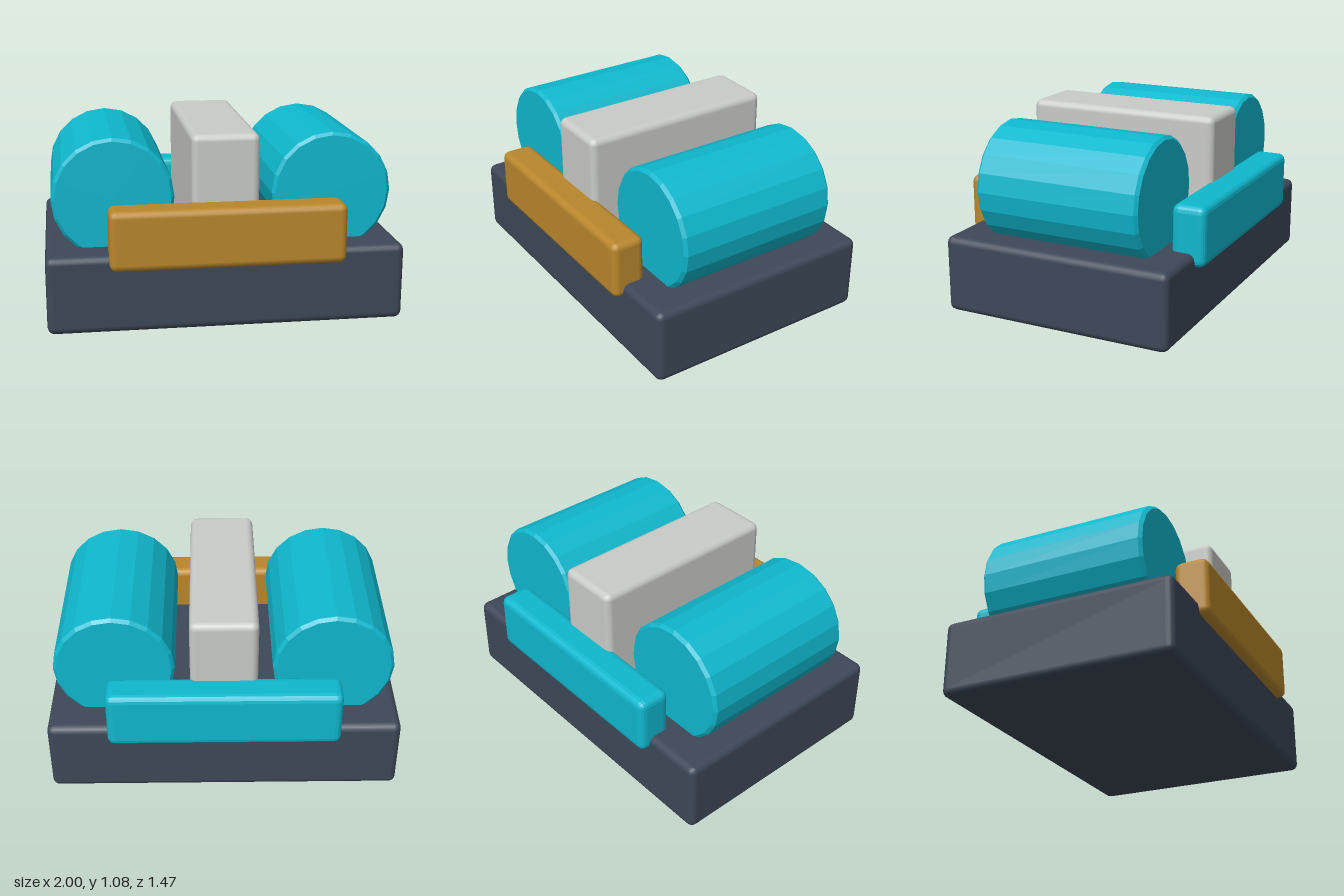
import * as THREE from 'three';
import { RoundedBoxGeometry } from 'three/addons/geometries/RoundedBoxGeometry.js';

function material(name, color, flatShading = false) {
  const m = new THREE.MeshStandardMaterial({ color, flatShading });
  m.name = name;
  return m;
}

export function createModel() {
  const group = new THREE.Group();
  const slate = material('slate', 0x3d4858);
  const teal = material('teal', 0x0fb8ce, true);
  const grey = material('light grey', 0xc9cbc7);
  const amber = material('amber', 0xb9872c);

  // Block with softly bevelled edges, given by its centre and size
  function block(name, mat, size, centre) {
    const mesh = new THREE.Mesh(new RoundedBoxGeometry(...size, 2, 0.04), mat);
    mesh.name = name;
    mesh.position.set(...centre);
    group.add(mesh);
  }

  block('base', slate, [2, 0.44, 1.36], [0, 0.22, 0]);
  block('centreBlock', grey, [0.38, 0.74, 1.16], [0, 0.705, 0]);
  block('frontBar', amber, [1.31, 0.34, 0.195], [0, 0.53, 0.637]);
  block('backBar', teal, [1.31, 0.34, 0.195], [0, 0.53, -0.637]);

  // Twenty-sided drums lying front to back, with chamfered rims
  const r = 0.342, h = 0.487, c = 0.018;
  const profile = [[0, -h], [r - c, -h], [r, -h + c], [r, h - c], [r - c, h], [0, h]]
    .map(([x, y]) => new THREE.Vector2(x, y));
  const drum = new THREE.LatheGeometry(profile, 20).rotateX(Math.PI / 2);
  for (const side of [1, -1]) {
    const mesh = new THREE.Mesh(drum, teal);
    mesh.name = side > 0 ? 'leftDrum' : 'rightDrum';
    mesh.position.set(side * 0.617, 0.711, 0);
    group.add(mesh);
  }
  return group;
}
